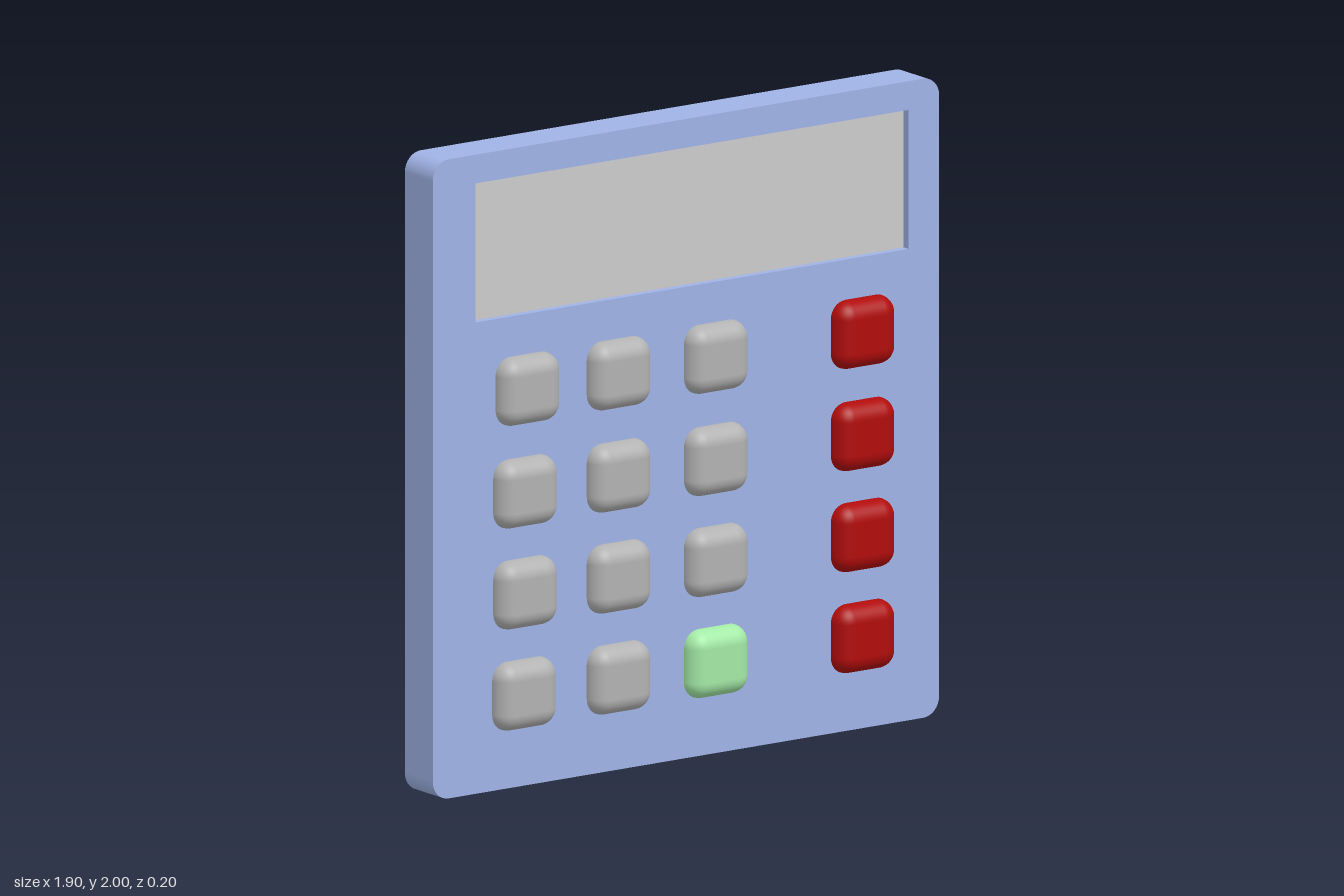
import * as THREE from 'three';
import { RoundedBoxGeometry } from 'three/addons/geometries/RoundedBoxGeometry.js';

const BACK = -0.1, FRONT = 0.045, RECESS = 0.03;
const FLOOR = FRONT - RECESS;

const paint = (color) => new THREE.MeshStandardMaterial({ color });

// Front outline of the case: 1.9 x 2 with rounded corners
function caseOutline() {
  const w = 0.95, h = 2, r = 0.06;
  const s = new THREE.Shape();
  s.moveTo(-w + r, 0);
  s.lineTo(w - r, 0);
  s.absarc(w - r, r, r, -Math.PI / 2, 0);
  s.absarc(w - r, h - r, r, 0, Math.PI / 2);
  s.absarc(-w + r, h - r, r, Math.PI / 2, Math.PI);
  s.absarc(-w + r, r, r, Math.PI, Math.PI * 1.5);
  return s;
}

function slab(shape, z0, z1) {
  const g = new THREE.ExtrudeGeometry(shape, { depth: z1 - z0, bevelEnabled: false, curveSegments: 8 });
  return g.translate(0, 0, z0);
}

export function createModel() {
  const model = new THREE.Group();
  model.name = 'calculator';
  const add = (name, geometry, material, x = 0, y = 0, z = 0) => {
    const mesh = new THREE.Mesh(geometry, material);
    mesh.name = name;
    mesh.position.set(x, y, z);
    model.add(mesh);
  };

  const blue = paint(0xa0b3e6), grey = paint(0xb2b2b2);
  const red = paint(0xb00c0c), green = paint(0xa3eaa6);

  // Case: solid back and a front layer with the display window cut out
  const [x0, x1, y0, y1] = [-0.79, 0.835, 1.475, 1.91];
  const front = caseOutline();
  front.holes.push(new THREE.Path([
    new THREE.Vector2(x0, y0), new THREE.Vector2(x0, y1),
    new THREE.Vector2(x1, y1), new THREE.Vector2(x1, y0),
  ]));
  add('caseBack', slab(caseOutline(), BACK, FLOOR), blue);
  add('caseFront', slab(front, FLOOR, FRONT), blue);

  // Display panel on the floor of the window
  add('display', new THREE.BoxGeometry(x1 - x0, y1 - y0, 0.01), paint(0xcccccc),
    (x0 + x1) / 2, (y0 + y1) / 2, FLOOR);

  // Keys: the first column is slightly staggered
  const key = new RoundedBoxGeometry(0.225, 0.215, 0.12, 5, 0.055);
  const rows = [1.242, 0.922, 0.606, 0.29];
  const firstColumn = [-0.602, -0.611, -0.611, -0.615];
  rows.forEach((y, r) => {
    [firstColumn[r], -0.26, 0.105, 0.656].forEach((x, c) => {
      const equals = r === 3 && c === 2;
      const name = c === 3 ? 'operatorKey' : equals ? 'equalsKey' : 'numberKey';
      add(name, key, c === 3 ? red : equals ? green : grey, x, y, 0.04);
    });
  });

  return model;
}
